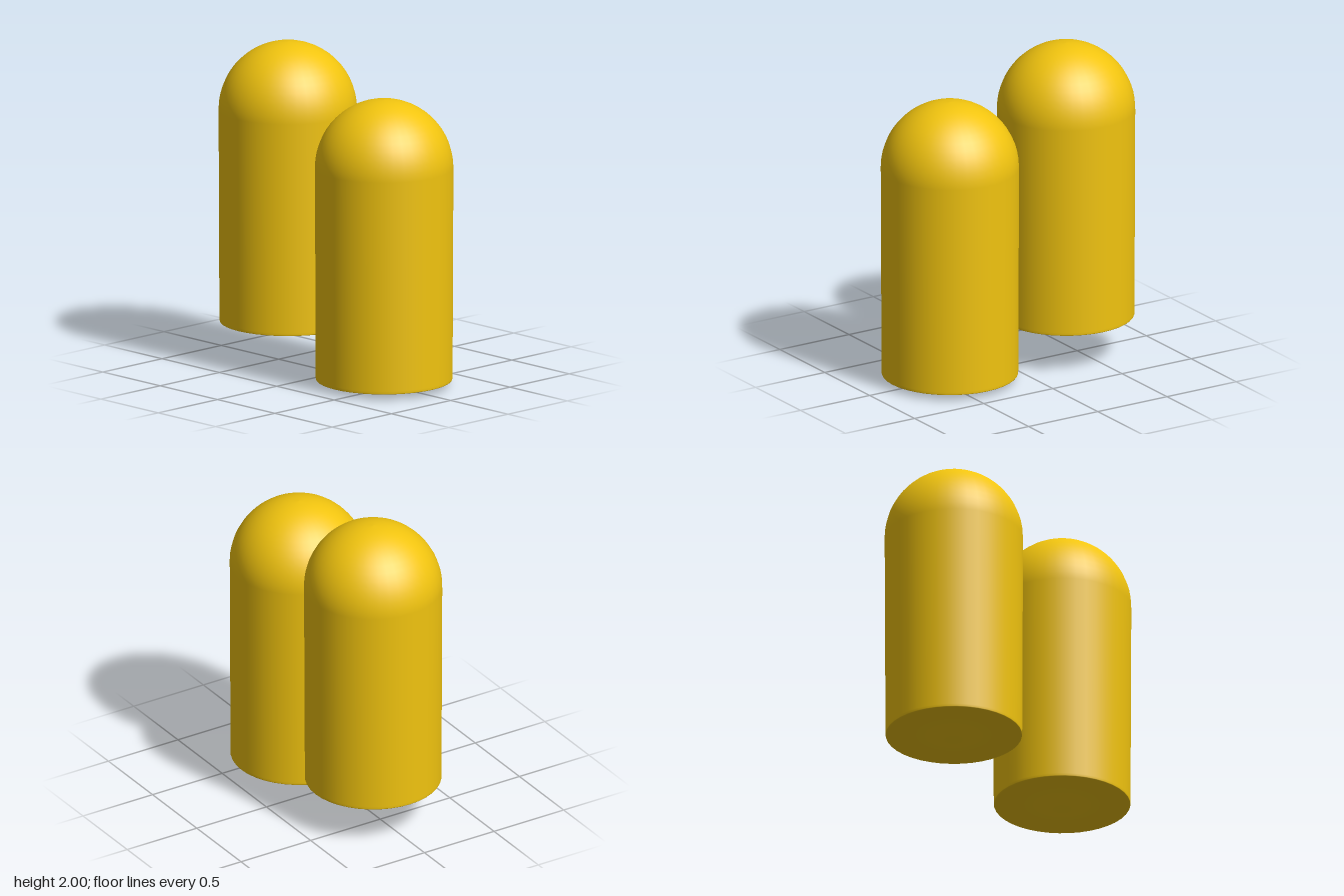
import * as THREE from 'three';

const R = 0.42; // radius of the body and its dome

// Half outline from the bottom centre to the top of the dome
function outline() {
  const base = [
    [0, 0.005], [0.05, 0.008], [0.1, 0.017], [0.14, 0.03], [0.18, 0.039], [0.24, 0.043],
    [0.405, 0.041], [0.413, 0.041], [0.415, 0.045], [0.415, 0.06],
  ];
  const points = base.map(([x, y]) => new THREE.Vector2(x, y));
  const steps = 14;
  for (let i = 0; i <= steps; i++) {
    const a = (i / steps) * Math.PI / 2;
    points.push(new THREE.Vector2(i === steps ? 0 : R * Math.cos(a), 1.36 + R * Math.sin(a)));
  }
  return points;
}

export function createModel() {
  const model = new THREE.Group();
  const yellow = new THREE.MeshStandardMaterial({ color: 0xf1c40f });
  const geometry = new THREE.LatheGeometry(outline(), 40);

  // Two equal round-topped cylinders, the rear one raised
  for (const [name, y, z] of [['frontCapsule', 0, R], ['rearCapsule', 0.22, -R]]) {
    const capsule = new THREE.Mesh(geometry, yellow);
    capsule.name = name;
    capsule.position.set(0, y, z);
    model.add(capsule);
  }
  return model;
}
